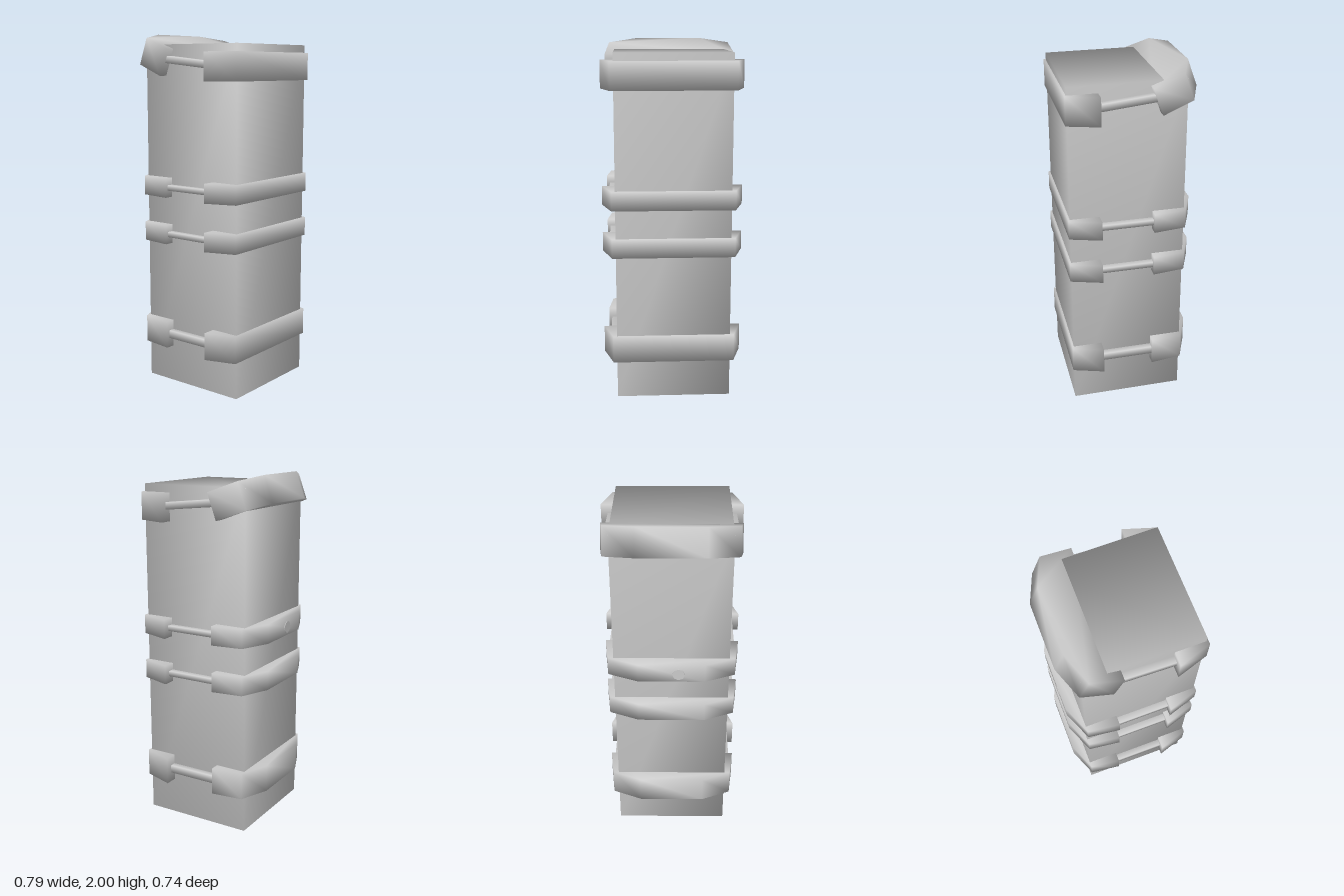
import * as THREE from 'three';
import { mergeVertices } from 'three/addons/utils/BufferGeometryUtils.js';

const material = new THREE.MeshStandardMaterial({ color: 0xcccccc });

// Shares corner vertices so the shading rolls softly over the edges
function smooth(geometry) {
  geometry.deleteAttribute('uv');
  geometry.deleteAttribute('normal');
  const g = mergeVertices(geometry, 1e-4);
  g.computeVertexNormals();
  return g;
}

function part(name, geometry, x, y, z) {
  const mesh = new THREE.Mesh(geometry, material);
  mesh.name = name;
  mesh.position.set(x, y, z);
  return mesh;
}

// Plan outline given as [x, z] for the right half, mirrored, raised to a height and centred on y
function bar(half, height) {
  const pts = [...half, ...half.slice().reverse().map(([x, z]) => [-x, z])];
  const shape = new THREE.Shape(pts.map(([x, z]) => new THREE.Vector2(x, -z)));
  const g = new THREE.ExtrudeGeometry(shape, { depth: height, bevelEnabled: false });
  g.rotateX(-Math.PI / 2).translate(0, -height / 2, 0);
  return smooth(g);
}

const frontPlan = [[0.34, 0.37], [0.395, 0.196]];
// Back outline is centred on its own depth so that it can tilt in place
const backPlan = [[0.375, 0.125], [0.352, -0.055], [0.185, -0.125]];

function createBand({ name, y, height, rod, tilt = 0, backY = y }) {
  const band = new THREE.Group();
  band.name = name;
  band.add(part('frontBar', bar(frontPlan, height), 0, y, 0));

  const back = part('backBar', bar(backPlan, height), 0, backY, -0.225);
  back.rotation.x = tilt;
  band.add(back);

  // Side links joining the front and back bars
  const rise = tilt ? 0.03 : 0;
  for (const side of [-1, 1]) {
    const link = part('sideLink', smooth(new THREE.BoxGeometry(0.06, rod, 0.36)),
      side * 0.327, y + (tilt ? 0.023 : 0), 0.05);
    link.rotation.x = Math.atan2(rise, 0.3);
    band.add(link);
  }
  return band;
}

export function createModel() {
  const model = new THREE.Group();
  model.name = 'bandedCase';

  // Main block
  model.add(part('body', smooth(new THREE.BoxGeometry(0.64, 1.94, 0.64)), 0, 0.97, 0.04));

  // Bands, bottom to top; the top one has its back bar tipped upward
  const bands = [
    { name: 'bottomBand', y: 0.29, height: 0.155, rod: 0.045 },
    { name: 'lowerMiddleBand', y: 0.88, height: 0.108, rod: 0.03 },
    { name: 'upperMiddleBand', y: 1.147, height: 0.108, rod: 0.03 },
    { name: 'topBand', y: 1.82, height: 0.155, rod: 0.04, tilt: 0.35, backY: 1.885 },
  ];
  bands.forEach((b) => model.add(createBand(b)));

  // Small flush stud on the back of the upper middle band
  const stud = new THREE.CylinderGeometry(0.035, 0.035, 0.02, 8).rotateX(Math.PI / 2);
  model.add(part('backStud', stud, -0.04, 1.14, -0.343));

  return model;
}
